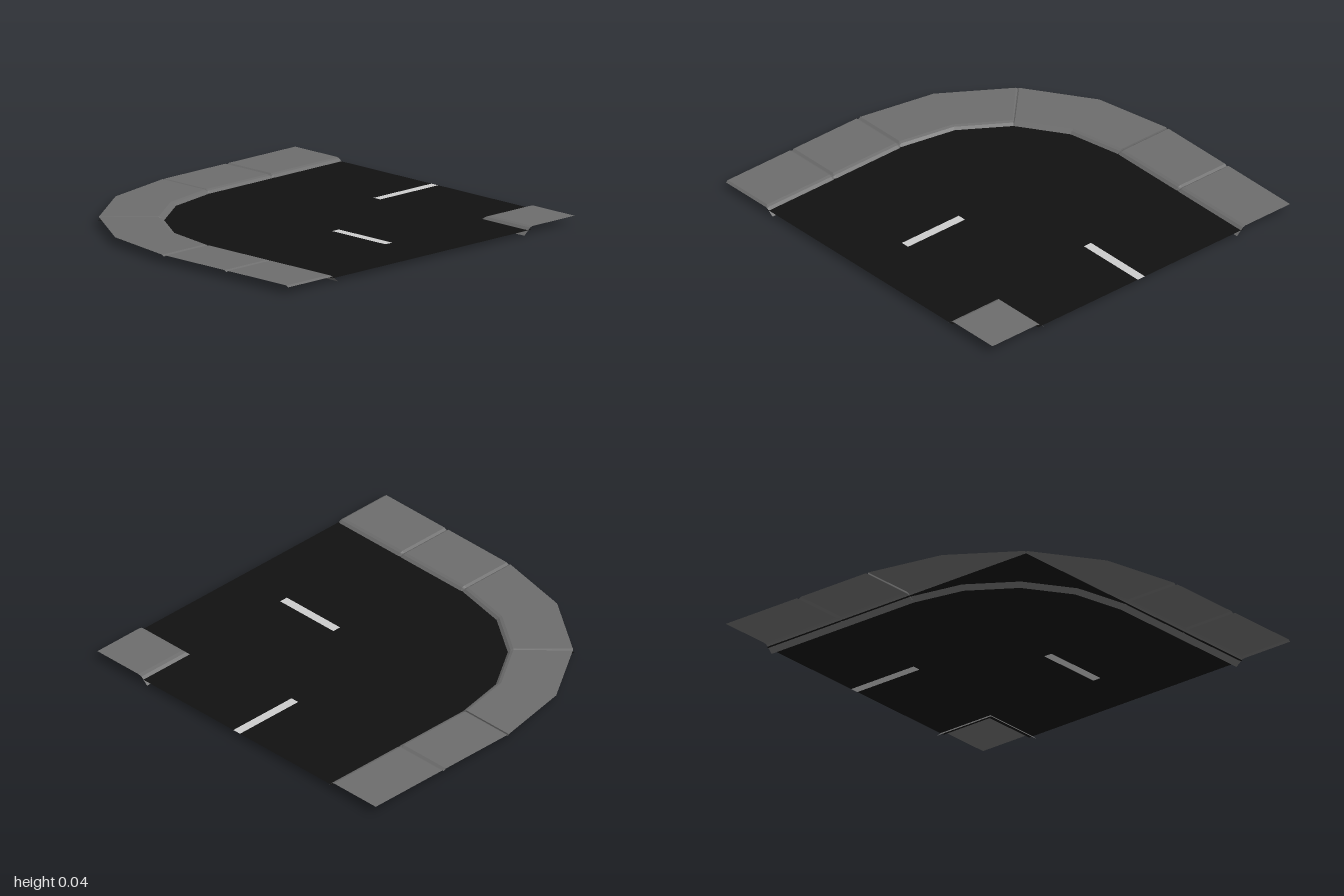
import * as THREE from 'three';

const TOP = 0.04, ROAD_Y = 0.023;
const CX = 0.075, CZ = 0.095; // centre of the bend

const material = (color) => new THREE.MeshStandardMaterial({ color, flatShading: true, side: THREE.DoubleSide });

// Joins cross-sections (arrays of [x, y, z]) into one open surface
function loft(name, sections, mat) {
  const n = sections[0].length, index = [];
  for (let i = 0; i < sections.length - 1; i++) {
    for (let j = 0; j < n - 1; j++) {
      const a = i * n + j, b = a + 1, c = a + n, d = c + 1;
      index.push(a, b, c, b, d, c);
    }
  }
  const geo = new THREE.BufferGeometry();
  geo.setAttribute('position', new THREE.Float32BufferAttribute(sections.flat(2), 3));
  geo.setIndex(index);
  geo.computeVertexNormals();
  const mesh = new THREE.Mesh(geo, mat);
  mesh.name = name;
  return mesh;
}

// Flat sheet from a list of [x, z] corners, with optional holes
function sheet(name, corners, mat, holes = []) {
  const points = (list) => list.map(([x, z]) => new THREE.Vector2(x, -z));
  const shape = new THREE.Shape(points(corners));
  for (const h of holes) shape.holes.push(new THREE.Path(points(h)));
  const mesh = new THREE.Mesh(new THREE.ShapeGeometry(shape).rotateX(-Math.PI / 2), mat);
  mesh.position.y = ROAD_Y;
  mesh.name = name;
  return mesh;
}

const rect = (x0, z0, x1, z1) => [[x0, z0], [x0, z1], [x1, z1], [x1, z0]];

export function createModel() {
  const group = new THREE.Group();
  const asphalt = material(0x111111), concrete = material(0x6c6c6c), paint = material(0xcccccc);

  // Road surface with openings for the painted dashes
  const dash = rect(-0.022, 0.305, 0.025, 0.68);
  group.add(sheet('road', [
    [-0.69, 0.98], [0.7, 0.98], [0.7, 0.68], [1, 0.68], [1, 0.023],
    [0.595, 0.023], [0.595, -0.024], [1, -0.024], [1, -0.67], [-0.69, -0.67],
  ], asphalt, [dash]));
  group.add(sheet('laneDashFront', dash, paint));
  group.add(sheet('laneDashSide', rect(0.595, -0.024, 1, 0.023), paint));

  // Stations along the outer pavement: direction from the centre, shift along the straight, groove depth
  const stations = [];
  const add = (dx, dz, sx, sz, dip = 0) => stations.push({ dx, dz, sx, sz, dip });
  const groove = 0.008, w = 0.013;
  const frontLength = 0.98 - CZ, backLength = 1 - CX, joint = 0.45;

  // Front straight, with a chamfered end and slab joints
  const front = [[frontLength, groove], [frontLength - w, 0], [joint + w, 0], [joint, groove],
    [joint - w, 0], [2 * w, 0], [w, groove], [0, 0]];
  for (const [s, dip] of front) add(-1, 0, 0, s, dip);

  // Four-sided bend, with a joint on the diagonal
  const dir = (k) => [-Math.cos(k * Math.PI / 8), -Math.sin(k * Math.PI / 8)];
  const chord = (k, t) => {
    const a = dir(k), b = dir(k + 1);
    add(a[0] + (b[0] - a[0]) * t, a[1] + (b[1] - a[1]) * t, 0, 0);
  };
  add(...dir(1), 0, 0);
  chord(1, 0.98);
  add(...dir(2), 0, 0, groove * 0.6);
  chord(2, 0.02);
  add(...dir(3), 0, 0);

  // Back straight
  const back = [[-0.001, 0], [0.0, groove], [w, 0], [joint - w, 0], [joint, groove], [joint + w, 0], [backLength, 0]];
  for (const [s, dip] of back) add(0, -1, s, 0, dip);

  // Pavement profile from outer edge to the foot of the sloped kerb: radius, height, share of groove
  const profile = [[1.075, TOP, 1], [0.78, TOP, 1], [0.765, 0.035, 0.6], [0.725, 0, 0]];
  group.add(loft('outerPavement', stations.map((s) => profile.map(([r, y, g]) => [
    CX + s.dx * r + s.sx, y - s.dip * g, CZ + s.dz * r + s.sz,
  ])), concrete));

  // Inside corner block: kerb on two sides, flat top
  const steps = [[0.65, 0.63, 0], [0.69, 0.67, 0.035], [0.705, 0.69, TOP], [1, 0.98, TOP]];
  group.add(loft('cornerPavement', [
    steps.map(([x, , y]) => [x, y, 0.98]),
    steps.map(([x, z, y]) => [x, y, z]),
    steps.map(([, z, y]) => [1, y, z]),
  ], concrete));

  return group;
}
